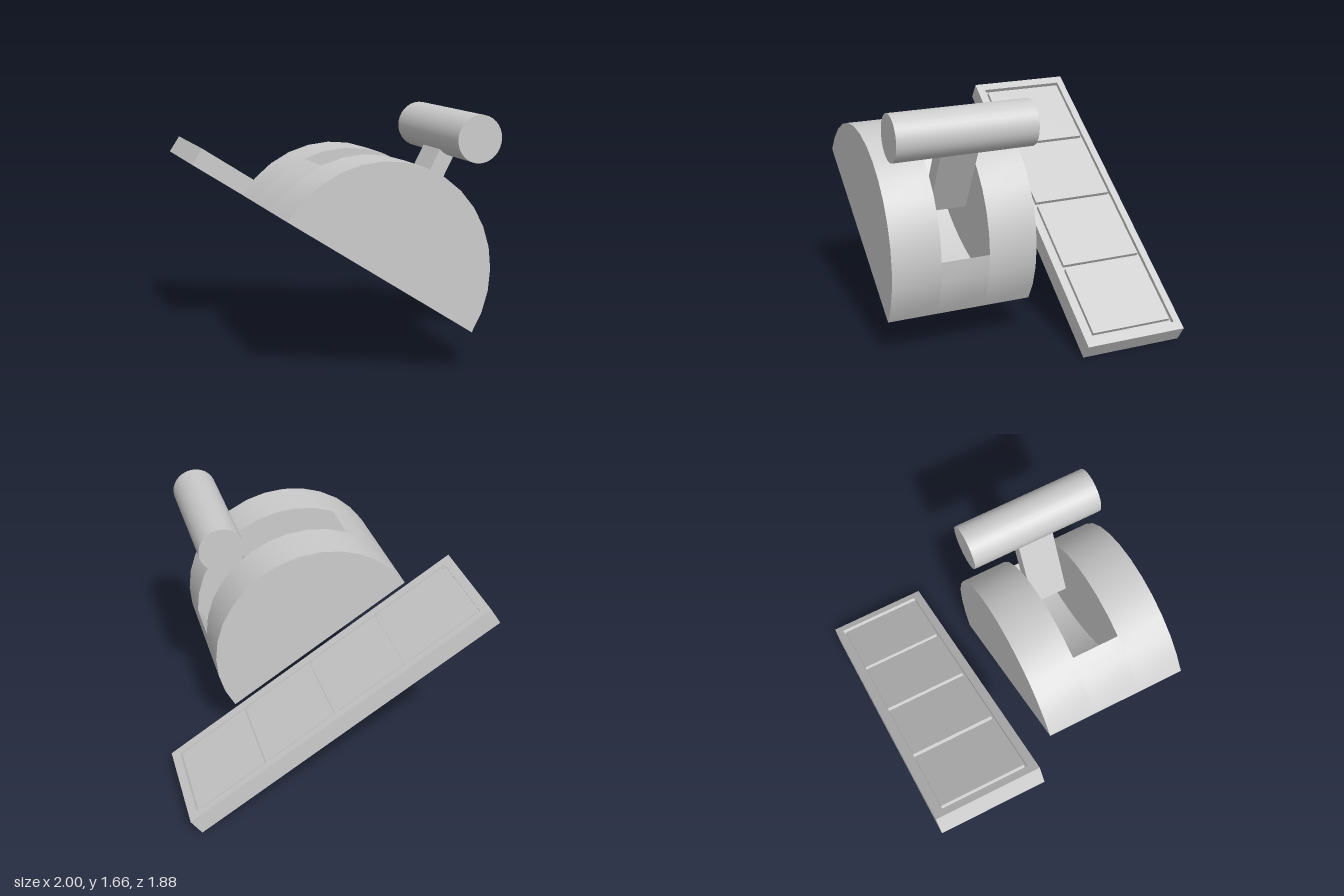
import * as THREE from 'three';
import { toCreasedNormals } from 'three/addons/utils/BufferGeometryUtils.js';

const TILT = -33.3 * Math.PI / 180;
const R = 0.728;            // housing radius
const STEP = Math.PI / 16;  // 32-sided round

export function createModel() {
  const model = new THREE.Group();
  const material = new THREE.MeshStandardMaterial({ color: 0xcccccc });

  const add = (parent, name, geometry, x = 0, y = 0, z = 0) => {
    const mesh = new THREE.Mesh(geometry, material);
    mesh.name = name;
    mesh.position.set(x, y, z);
    parent.add(mesh);
    return mesh;
  };
  const box = (parent, name, x0, x1, y0, y1, z0, z1) =>
    add(parent, name, new THREE.BoxGeometry(x1 - x0, y1 - y0, z1 - z0),
      (x0 + x1) / 2, (y0 + y1) / 2, (z0 + z1) / 2);

  // Everything that follows the sloped base
  const base = new THREE.Group();
  base.name = 'slopedBase';
  base.position.set(-0.107, 0.678, 0);
  base.rotation.z = TILT;
  model.add(base);

  // Half-round housing, in three slices; the middle one carries the lever slot
  const rim = (from, to) => {
    const points = [];
    for (let i = from; i <= to; i++) {
      points.push(new THREE.Vector2(R * Math.cos(i * STEP), R * Math.sin(i * STEP)));
    }
    return points;
  };
  const slice = (name, points, z0, z1) => {
    const geometry = new THREE.ExtrudeGeometry(new THREE.Shape(points),
      { depth: z1 - z0, bevelEnabled: false });
    add(base, name, toCreasedNormals(geometry, 0.5), 0, 0, z0);
  };
  slice('housingBack', rim(0, 16), -0.035, 0.29);
  slice('housingFront', rim(0, 16), 0.615, 0.94);

  // Slot floor: a shallow hollow between two straight end walls
  const half = R * Math.cos(3 * STEP), edgeY = 0.18, sag = 0.16;
  const floorR = (half * half + sag * sag) / (2 * sag);
  const sweep = Math.asin(half / floorR);
  const hollow = [];
  for (let i = 0; i <= 12; i++) {
    const a = sweep * (1 - i / 6);
    hollow.push(new THREE.Vector2(floorR * Math.sin(a),
      edgeY - sag + floorR * (1 - Math.cos(a))));
  }
  slice('housingSlot', [...rim(0, 3), ...hollow, ...rim(13, 16)], 0.29, 0.615);

  // Side panel: slab, raised border and four inset tiles
  const panel = new THREE.Group();
  panel.name = 'sidePanel';
  base.add(panel);
  const x0 = -1.072, x1 = 1.239, z0 = -0.94, z1 = -0.235, top = 0.128, floor = 0.098;
  box(panel, 'panelSlab', x0, x1, 0, floor, z0, z1);

  const rect = (path, a, b, c, d) =>
    path.moveTo(a, c).lineTo(b, c).lineTo(b, d).lineTo(a, d).closePath();
  const border = rect(new THREE.Shape(), x0, x1, -z1, -z0);
  border.holes.push(rect(new THREE.Path(), -1.012, 1.177, 0.293, 0.89));
  const borderGeometry = new THREE.ExtrudeGeometry(border,
    { depth: top - floor, bevelEnabled: false });
  borderGeometry.rotateX(-Math.PI / 2);
  add(panel, 'panelBorder', borderGeometry, 0, floor, 0);

  for (let i = 0; i < 4; i++) {
    const start = -0.984 + i * 0.54;
    box(panel, 'panelTile', start, start + 0.51, floor, top - 0.003, -0.875, -0.308);
  }

  // Lever arm, running from inside the slot up to the grip
  const grip = new THREE.Vector2(0.545, 1.505);
  const foot = new THREE.Vector2(0.243, 0.93);
  const arm = add(model, 'leverArm',
    new THREE.BoxGeometry(0.108, grip.distanceTo(foot), 0.25),
    (grip.x + foot.x) / 2, (grip.y + foot.y) / 2, 0.45);
  arm.rotation.z = -Math.atan2(grip.x - foot.x, grip.y - foot.y);

  // Round grip across the top
  const handle = add(model, 'leverGrip',
    new THREE.CylinderGeometry(0.151, 0.151, 0.92, 32), grip.x, grip.y, 0.45);
  handle.rotation.x = Math.PI / 2;

  return model;
}
